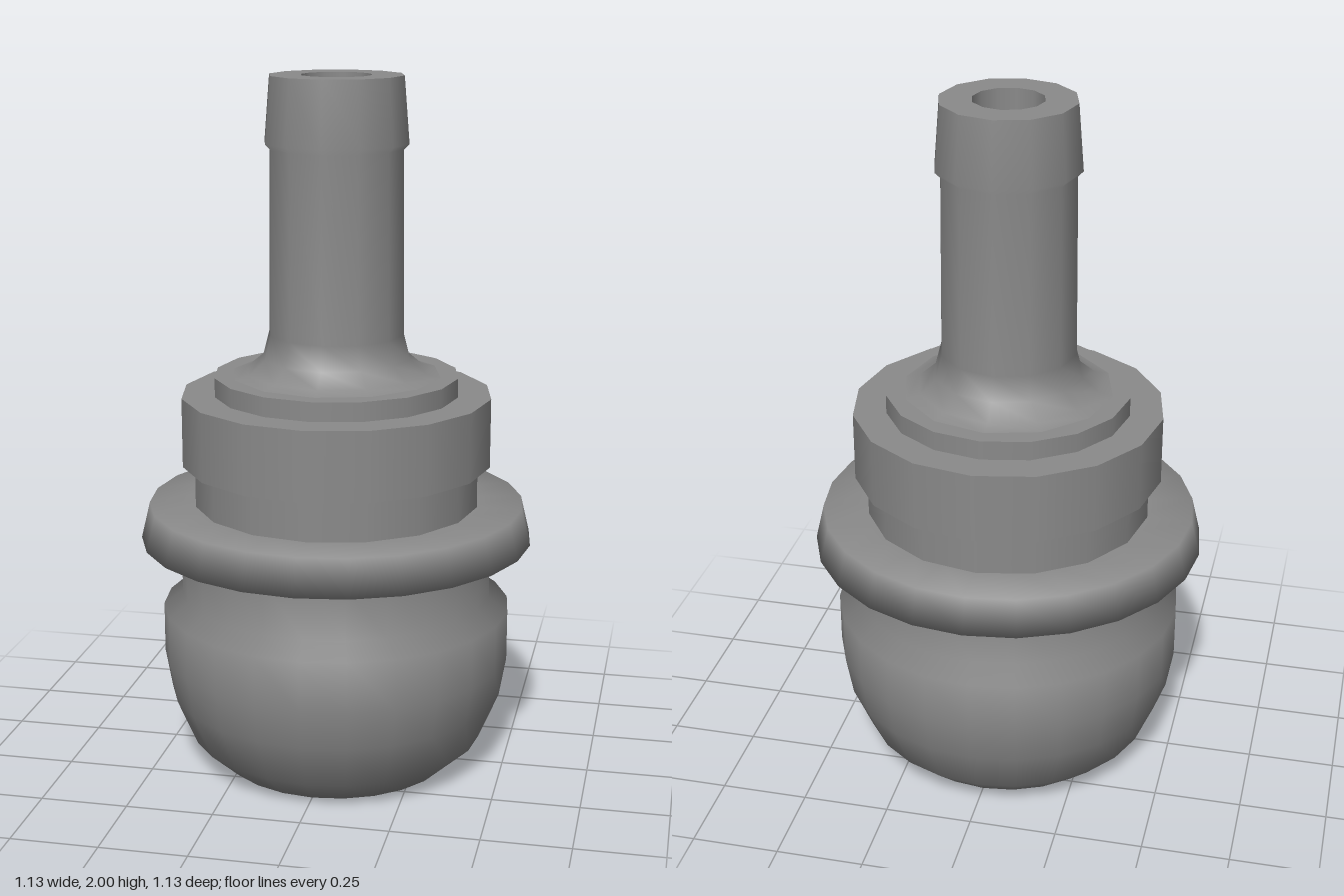
import * as THREE from 'three';

const grey = new THREE.MeshStandardMaterial({ color: 0x8a8a8a });
grey.name = 'grey';

// Turned part: each run of [radius, height] points is smooth, with sharp edges between runs
function turned(name, sides, runs) {
  const group = new THREE.Group();
  group.name = name;
  runs.forEach((run, i) => {
    const points = run.map(([r, y]) => new THREE.Vector2(r, y));
    const mesh = new THREE.Mesh(new THREE.LatheGeometry(points, sides), grey);
    mesh.name = `${name}Surface${i + 1}`;
    group.add(mesh);
  });
  return group;
}

export function createModel() {
  const model = new THREE.Group();
  model.name = 'hoseFitting';

  // Rounded bulb with a chamfered shoulder and straight waist
  model.add(turned('bulb', 24, [
    [[0, 0], [0.34, 0], [0.428, 0.08], [0.485, 0.215], [0.505, 0.33], [0.505, 0.475], [0.45, 0.515], [0.45, 0.67]],
  ]));

  // Flared flange ring
  model.add(turned('flange', 24, [
    [[0.43, 0.665], [0.565, 0.68], [0.54, 0.785], [0.39, 0.785]],
  ]));

  // Groove below the collar
  model.add(turned('groove', 16, [[[0.41, 0.78], [0.41, 0.905]]]));

  // Collar with flat faces above and below
  model.add(turned('collar', 16, [
    [[0.38, 0.905], [0.445, 0.905]],
    [[0.445, 0.905], [0.445, 1.105]],
    [[0.445, 1.105], [0.33, 1.105]],
  ]));

  // Thin step on the collar
  model.add(turned('step', 16, [
    [[0.35, 1.105], [0.35, 1.16]],
    [[0.35, 1.16], [0.2, 1.16]],
  ]));

  // Hose stem: flared foot, shaft, barbed tip, end face and bore
  model.add(turned('stem', 12, [
    [[0.3, 1.16], [0.26, 1.17], [0.213, 1.21], [0.195, 1.28], [0.19, 1.8], [0.205, 1.815], [0.19, 2]],
    [[0.19, 2], [0.1, 2]],
    [[0.1, 2], [0.1, 1.2]],
    [[0.1, 1.2], [0, 1.2]],
  ]));

  return model;
}
